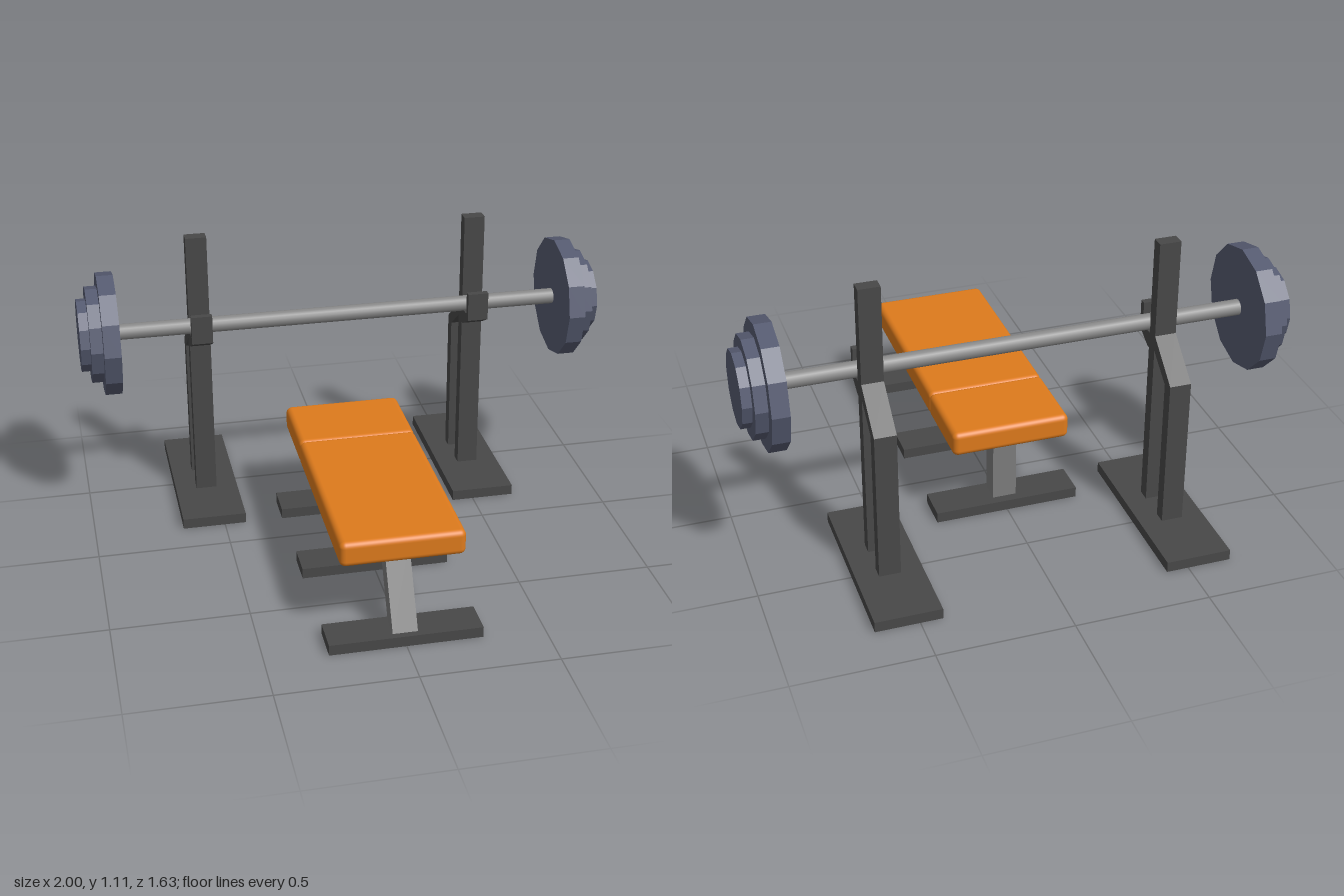
import * as THREE from 'three';
import { RoundedBoxGeometry } from 'three/addons/geometries/RoundedBoxGeometry.js';

const paint = (color, flatShading = false) => {
  const m = new THREE.MeshStandardMaterial({ color });
  m.flatShading = flatShading;
  return m;
};

export function createModel() {
  const model = new THREE.Group();
  model.name = 'benchPress';
  const frame = paint(0x484848);
  const legGrey = paint(0x7c7c7c);
  const barGrey = paint(0x888888);
  const iron = paint(0x555a70, true);
  const orange = paint(0xdd7a1c);

  const add = (name, geometry, material, parent = model) => {
    const mesh = new THREE.Mesh(geometry, material);
    mesh.name = name;
    parent.add(mesh);
    return mesh;
  };

  // Box given by its limits on each axis
  const box = (name, [x0, x1], [y0, y1], [z0, z1], material, parent) =>
    add(name, new THREE.BoxGeometry(x1 - x0, y1 - y0, z1 - z0), material, parent)
      .position.set((x0 + x1) / 2, (y0 + y1) / 2, (z0 + z1) / 2);

  // Side profile of (z, y) points, extruded along x about a centre
  const profile = (name, points, x, width, material, parent) => {
    const shape = new THREE.Shape(points.map(([z, y]) => new THREE.Vector2(z, y)));
    const geometry = new THREE.ExtrudeGeometry(shape, { depth: width, bevelEnabled: false });
    geometry.translate(0, 0, -width / 2).rotateY(-Math.PI / 2);
    add(name, geometry, material, parent).position.x = x;
  };

  // Padded bench in two cushions, meeting in a soft groove
  const cushion = (name, z0, z1) =>
    add(name, new RoundedBoxGeometry(0.445, 0.095, z1 - z0, 4, 0.022), orange)
      .position.set(0, 0.3525, (z0 + z1) / 2);
  cushion('seatCushion', -0.018, 0.755);
  cushion('headCushion', -0.32, -0.006);

  // Bench feet and legs
  for (const [name, z0, z1] of [['rear', -0.275, -0.14], ['middle', 0.18, 0.31], ['front', 0.68, 0.815]])
    box(name + 'Foot', [-0.275, 0.275], [0, 0.04], [z0, z1], frame);
  box('rearLeg', [-0.045, 0.045], [0.03, 0.32], [-0.24, -0.162], legGrey);
  box('middleLeg', [-0.045, 0.045], [0.03, 0.32], [0.21, 0.285], legGrey);
  profile('frontLeg', [[0.715, 0.035], [0.793, 0.035], [0.565, 0.32].map((v, i) => (i ? v : v + 0.078)), [0.565, 0.32]],
    0, 0.09, legGrey);

  // Two upright racks
  for (const side of [-1, 1]) {
    const rack = new THREE.Group();
    rack.name = side > 0 ? 'leftRack' : 'rightRack';
    rack.position.x = side * 0.54;
    model.add(rack);
    box('rackBase', [-0.122, 0.122], [0, 0.04], [-0.82, -0.14], frame, rack);
    box('upright', [-0.04, 0.04], [0.03, 1.105], [-0.425, -0.377], frame, rack);
    // Rear strut bending forward into the upright
    profile('rearStrut', [[-0.577, 0.035], [-0.53, 0.035], [-0.53, 0.6], [-0.42, 0.685],
      [-0.42, 0.745], [-0.577, 0.615]], 0, 0.08, frame, rack);
    // Bar hook with a raised lip
    profile('barHook', [[-0.4, 0.67], [-0.365, 0.67], [-0.29, 0.71], [-0.29, 0.82], [-0.315, 0.82],
      [-0.315, 0.73], [-0.4, 0.73]], 0, 0.08, frame, rack);
  }

  // Barbell lying across the hooks
  const barbell = new THREE.Group();
  barbell.name = 'barbell';
  barbell.position.set(0, 0.762, -0.35);
  model.add(barbell);
  add('bar', new THREE.CylinderGeometry(0.03, 0.03, 1.8, 16).rotateZ(Math.PI / 2), barGrey, barbell);
  const plates = [['large', 0.233, 0.857, 0.92], ['medium', 0.183, 0.915, 0.965], ['small', 0.138, 0.96, 1]];
  for (const side of [-1, 1])
    for (const [name, radius, x0, x1] of plates)
      add(name + 'Plate', new THREE.CylinderGeometry(radius, radius, x1 - x0, 12).rotateZ(Math.PI / 2), iron, barbell)
        .position.x = side * (x0 + x1) / 2;

  return model;
}
